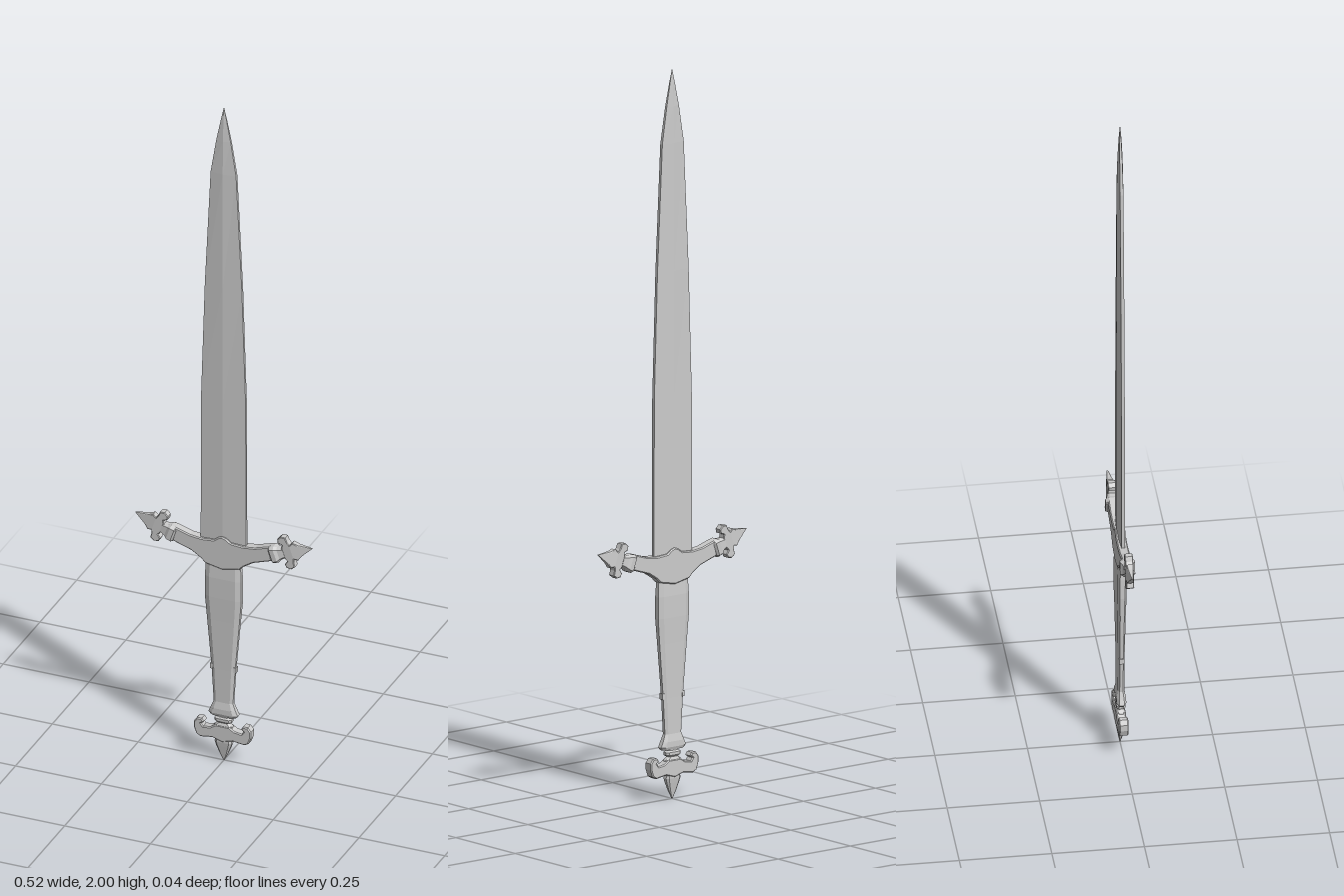
import * as THREE from 'three';

const steel = new THREE.MeshStandardMaterial({ color: 0xcccccc, flatShading: true });

function add(parent, name, geometry) {
  const mesh = new THREE.Mesh(geometry, steel);
  mesh.name = name;
  parent.add(mesh);
  return mesh;
}

// Stack of eight-sided sections [y, halfWidth, halfDepth]; section(w, d) gives the ring, counter-clockwise seen from above
function loft(rows, section) {
  const pos = [], index = [];
  let n = 0;
  for (const [y, w, d] of rows) {
    const ring = section(w, d);
    n = ring.length;
    for (const [x, z] of ring) pos.push(x, y, z);
  }
  for (let r = 0; r < rows.length - 1; r++) {
    for (let i = 0; i < n; i++) {
      const a = r * n + i, b = r * n + (i + 1) % n;
      index.push(a, b, b + n, a, b + n, a + n);
    }
  }
  const top = (rows.length - 1) * n;
  for (let i = 1; i < n - 1; i++) {
    index.push(0, i + 1, i, top, top + i, top + i + 1);
  }
  const g = new THREE.BufferGeometry();
  g.setAttribute('position', new THREE.Float32BufferAttribute(pos, 3));
  g.setIndex(index);
  const flat = g.toNonIndexed();
  flat.computeVertexNormals();
  return flat;
}

// Chamfered bar section
const bar = (w, d) => {
  const a = w * 0.72, b = d * 0.5;
  return [[w, b], [w, -b], [a, -d], [-a, -d], [-w, -b], [-w, b], [-a, d], [a, d]];
};
// Blade section: central ridge falling to narrow squared edges
const ridge = (w, d) => [[w, d * 0.5], [w, -d * 0.5], [0, -d], [-w, -d * 0.5], [-w, d * 0.5], [0, d]];

// Bevelled plate, centred on z = 0
function plate(shape, half, bevel) {
  const g = new THREE.ExtrudeGeometry(shape, {
    depth: 2 * (half - bevel), bevelThickness: bevel, bevelSize: bevel,
    bevelOffset: -bevel, bevelSegments: 1, curveSegments: 5,
  });
  return g.translate(0, 0, bevel - half);
}

// Closed outline from its right half, listed from bottom to top
function mirrored(half) {
  const left = half.filter(([x]) => x > 0).reverse().map(([x, y]) => [-x, y]);
  return new THREE.Shape([...half, ...left].map(([x, y]) => new THREE.Vector2(x, y)));
}

// Leaf-shaped end of the guard, growing along +x
function finialGeometry() {
  const upper = [[0, 0.017], [0.027, 0.014], [0.032, 0.024], [0.022, 0.032], [0.024, 0.043],
    [0.036, 0.049], [0.049, 0.044], [0.05, 0.03], [0.054, 0.021], [0.064, 0.026], [0.078, 0.016]];
  const lower = upper.map(([u, v]) => [u, -v]);
  const outline = [...lower, [0.114, 0], ...upper.reverse()];
  const g = plate(new THREE.Shape(outline.map(([u, v]) => new THREE.Vector2(u, v))), 0.011, 0.002);
  // thin towards the point
  const p = g.attributes.position;
  for (let i = 0; i < p.count; i++) {
    const u = p.getX(i);
    const k = u < 0.055 ? 1 : 1 - 0.8 * (u - 0.055) / 0.059;
    p.setZ(i, p.getZ(i) * k);
  }
  g.computeVertexNormals();
  return g;
}

export function createModel() {
  const sword = new THREE.Group();
  sword.name = 'sword';

  add(sword, 'blade', loft([
    [0.64, 0.066, 0.009], [1.1, 0.065, 0.009], [1.45, 0.054, 0.009], [1.8, 0.037, 0.009],
    [1.9, 0.021, 0.007], [1.96, 0.009, 0.004], [2, 0.0005, 0.0005],
  ], ridge));

  // Guard with swept arms and a small central peak
  const guard = new THREE.Group();
  guard.name = 'guard';
  sword.add(guard);
  add(guard, 'crossguard', plate(mirrored([
    [0, 0.59], [0.05, 0.6], [0.062, 0.612], [0.09, 0.63], [0.145, 0.648], [0.137, 0.69],
    [0.095, 0.677], [0.06, 0.673], [0.025, 0.676], [0.012, 0.686], [0, 0.69],
  ]), 0.014, 0.003));

  for (const side of [1, -1]) {
    const end = new THREE.Group();
    end.name = side > 0 ? 'leftGuardEnd' : 'rightGuardEnd';
    end.position.set(side * 0.15, 0.668, 0);
    end.rotation.set(0, side > 0 ? 0 : Math.PI, 0.33);
    guard.add(end);
    const collar = loft([
      [-0.012, 0.022, 0.014], [-0.007, 0.025, 0.02], [0.006, 0.024, 0.02],
      [0.014, 0.019, 0.015], [0.03, 0.014, 0.012],
    ], bar);
    add(end, 'collar', collar.rotateZ(-Math.PI / 2));
    add(end, 'finial', finialGeometry());
  }

  // Grip, widest below the guard and flaring again at the foot
  add(sword, 'grip', loft([
    [0.137, 0.036, 0.01], [0.145, 0.043, 0.013], [0.16, 0.036, 0.013], [0.18, 0.028, 0.009],
    [0.28, 0.034, 0.009], [0.43, 0.047, 0.011], [0.5, 0.053, 0.013], [0.56, 0.053, 0.013],
    [0.61, 0.05, 0.01],
  ], bar));
  for (const side of [1, -1]) {
    const stud = add(sword, 'gripStud', new THREE.BoxGeometry(0.008, 0.016, 0.014));
    stud.position.set(side * 0.034, 0.285, 0);
  }

  // Pommel: neck rings, upturned crosspiece and spike
  const pommel = new THREE.Group();
  pommel.name = 'pommel';
  sword.add(pommel);
  add(pommel, 'neck', loft([
    [0.095, 0.03, 0.011], [0.11, 0.025, 0.011], [0.117, 0.016, 0.008], [0.122, 0.025, 0.012],
    [0.13, 0.025, 0.012], [0.134, 0.016, 0.008], [0.142, 0.02, 0.008],
  ], bar));
  add(pommel, 'crosspiece', plate(mirrored([
    [0, 0.06], [0.03, 0.069], [0.064, 0.064], [0.076, 0.071], [0.083, 0.09], [0.083, 0.108],
    [0.074, 0.12], [0.06, 0.12], [0.054, 0.111], [0.062, 0.105], [0.056, 0.097],
    [0.035, 0.1], [0.02, 0.11], [0, 0.11],
  ]), 0.013, 0.003));
  add(pommel, 'spike', loft([
    [0, 0.001, 0.001], [0.022, 0.012, 0.005], [0.045, 0.021, 0.009], [0.058, 0.025, 0.011],
    [0.072, 0.022, 0.011],
  ], bar));

  return sword;
}
